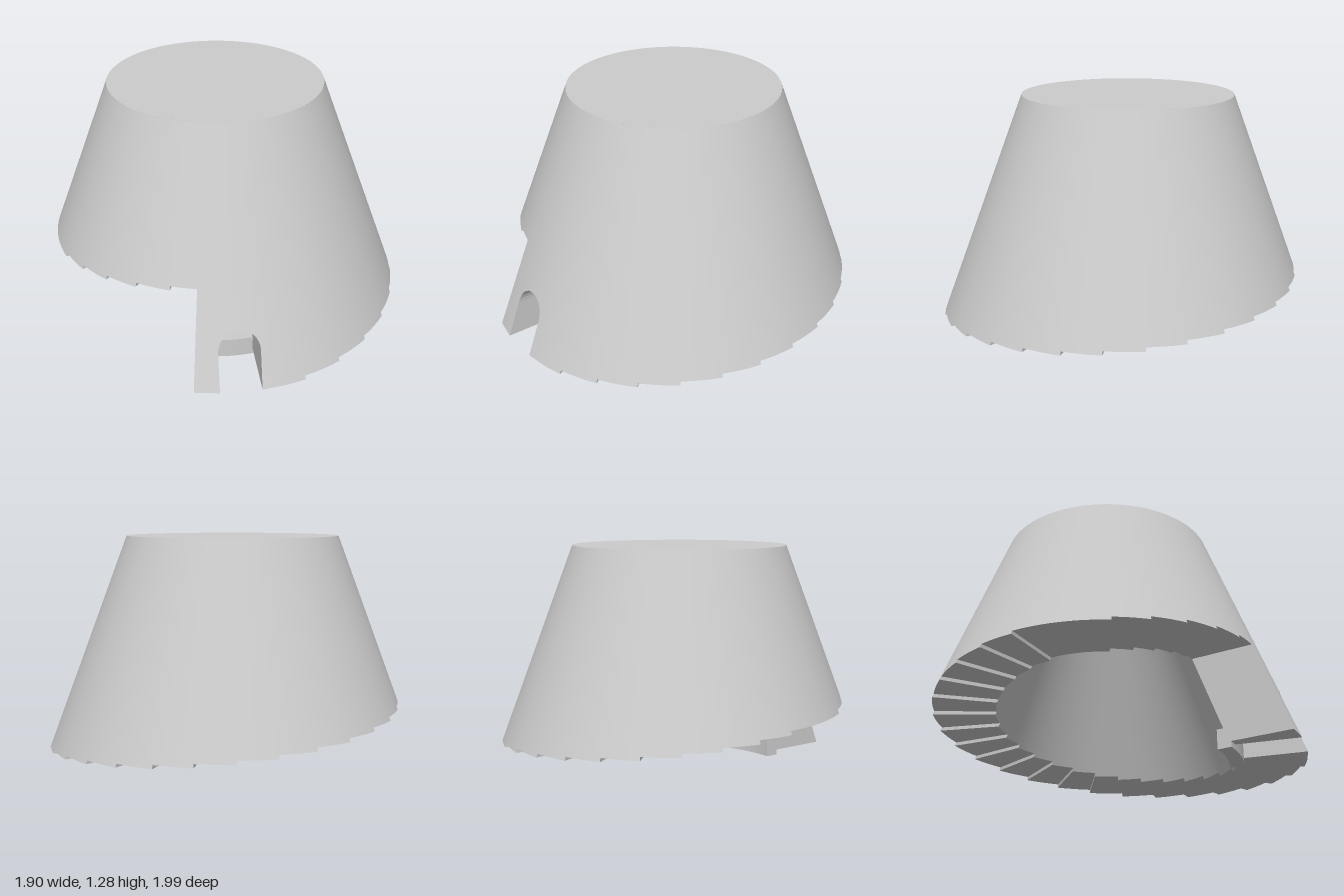
import * as THREE from 'three';

const SLOPE = 0.376, TOP = 1.285, CEILING = 1.25;
const outerR = (y) => 0.575 + SLOPE * (TOP - y);
const innerR = (y) => 0.72 - SLOPE * y;
const BASE = 0.03, RISE = 0.019;
const START = -13, END = 347;
const DOOR_HALF = 0.107, DOOR_SPRING = 0.22, DOOR_CLEAR = 0.34;
const rad = THREE.MathUtils.degToRad;

// A column is one vertical line of the wall: its place around the axis and its lower edge.
function angleColumn(deg, bottom) {
  const a = rad(deg);
  return { key: 'a' + deg, bottom, at: (radius, y) => {
    const r = radius(y);
    return new THREE.Vector3(r * Math.sin(a), y, r * Math.cos(a));
  } };
}

// Door columns stay at constant x up to the arch, then follow the cone.
function doorColumn(x0, bottom) {
  return { key: 'd' + x0, bottom, at: (radius, y) => {
    const r = radius(y);
    const x = x0 * Math.min(1, r / radius(DOOR_CLEAR));
    return new THREE.Vector3(x, y, Math.sqrt(r * r - x * x));
  } };
}

function makeColumns() {
  const cols = [angleColumn(START, BASE), doorColumn(-DOOR_HALF, BASE)];
  // Arched doorway
  const n = 16;
  for (let i = 0; i <= n; i++) {
    const p = Math.PI * (1 - i / n);
    const x = i === 0 ? -DOOR_HALF : i === n ? DOOR_HALF : DOOR_HALF * Math.cos(p);
    cols.push(doorColumn(x, DOOR_SPRING + DOOR_HALF * Math.sin(p)));
  }
  cols.push(doorColumn(DOOR_HALF, BASE));
  // Spiral of steps: 12 degrees each, with long landings at the door and at the side
  const bounds = [13, 18.8];
  for (let i = 1; i <= 20; i++) bounds.push(18.8 + 12 * i);
  bounds[bounds.length - 1] = 258.8;
  bounds.push(290, 302, 314, 326, 338, END);
  for (let i = 0; i + 1 < bounds.length; i++) {
    const a0 = bounds[i], a1 = bounds[i + 1];
    const parts = Math.max(2, Math.round((a1 - a0) / 3));
    for (let j = 0; j <= parts; j++) {
      const a = j === parts ? a1 : a0 + (a1 - a0) * j / parts;
      cols.push(angleColumn(a, BASE + RISE * i));
    }
  }
  cols.push(angleColumn(END, BASE));
  return cols;
}

// Smooth conical skin, facing outward (sign 1) or inward (sign -1)
function skin(cols, radius, top, sign) {
  const pos = [], nor = [], index = [], rows = 4;
  for (const c of cols) {
    const mid = Math.max(c.bottom + 0.02, DOOR_CLEAR);
    for (const y of [c.bottom, (c.bottom + mid) / 2, mid, top]) {
      const p = c.at(radius, y);
      pos.push(p.x, p.y, p.z);
      const v = new THREE.Vector3(p.x, SLOPE * radius(y), p.z).normalize().multiplyScalar(sign);
      nor.push(v.x, v.y, v.z);
    }
  }
  for (let i = 0; i + 1 < cols.length; i++) {
    if (cols[i].key === cols[i + 1].key) continue;
    for (let r = 0; r + 1 < rows; r++) {
      const a = i * rows + r, b = a + rows;
      if (sign > 0) index.push(a, b, b + 1, a, b + 1, a + 1);
      else index.push(a, b + 1, b, a, a + 1, b + 1);
    }
  }
  const g = new THREE.BufferGeometry();
  g.setAttribute('position', new THREE.Float32BufferAttribute(pos, 3));
  g.setAttribute('normal', new THREE.Float32BufferAttribute(nor, 3));
  g.setIndex(index);
  return g;
}

// Undersides, risers and door reveals joining the two skins
function lowerEdge(cols) {
  const pos = [];
  for (let i = 0; i + 1 < cols.length; i++) {
    const a = cols[i], b = cols[i + 1];
    const oa = a.at(outerR, a.bottom), ia = a.at(innerR, a.bottom);
    const ob = b.at(outerR, b.bottom), ib = b.at(innerR, b.bottom);
    for (const p of [oa, ia, ib, oa, ib, ob]) pos.push(p.x, p.y, p.z);
  }
  const g = new THREE.BufferGeometry();
  g.setAttribute('position', new THREE.Float32BufferAttribute(pos, 3));
  g.computeVertexNormals();
  return g;
}

// Curved block inside the doorway
function doorstepGeometry() {
  const s = new THREE.Shape();
  const mid = -Math.PI / 2, half = rad(13);
  s.absarc(0, 0, 0.72, mid - half, mid + half, false);
  s.absarc(0, 0, 0.645, mid + half, mid - half, true);
  s.closePath();
  const g = new THREE.ExtrudeGeometry(s, { depth: 0.105, bevelEnabled: false, curveSegments: 12 });
  return g.rotateX(-Math.PI / 2);
}

export function createModel() {
  const model = new THREE.Group();
  model.name = 'spiralStairTower';
  const stone = new THREE.MeshStandardMaterial({ color: 0xcccccc });
  stone.name = 'light grey';

  const add = (name, geometry) => {
    const mesh = new THREE.Mesh(geometry, stone);
    mesh.name = name;
    mesh.position.set(-0.053, 0, -0.047);
    model.add(mesh);
  };

  const cols = makeColumns();
  add('outerWall', skin(cols, outerR, TOP, 1));
  add('innerWall', skin(cols, innerR, CEILING, -1));
  add('steppedUnderside', lowerEdge(cols));
  add('roof', new THREE.CircleGeometry(outerR(TOP), 96).rotateX(-Math.PI / 2).translate(0, TOP, 0));
  add('ceiling', new THREE.CircleGeometry(innerR(CEILING), 64).rotateX(Math.PI / 2).translate(0, CEILING, 0));
  add('doorstep', doorstepGeometry());
  return model;
}
